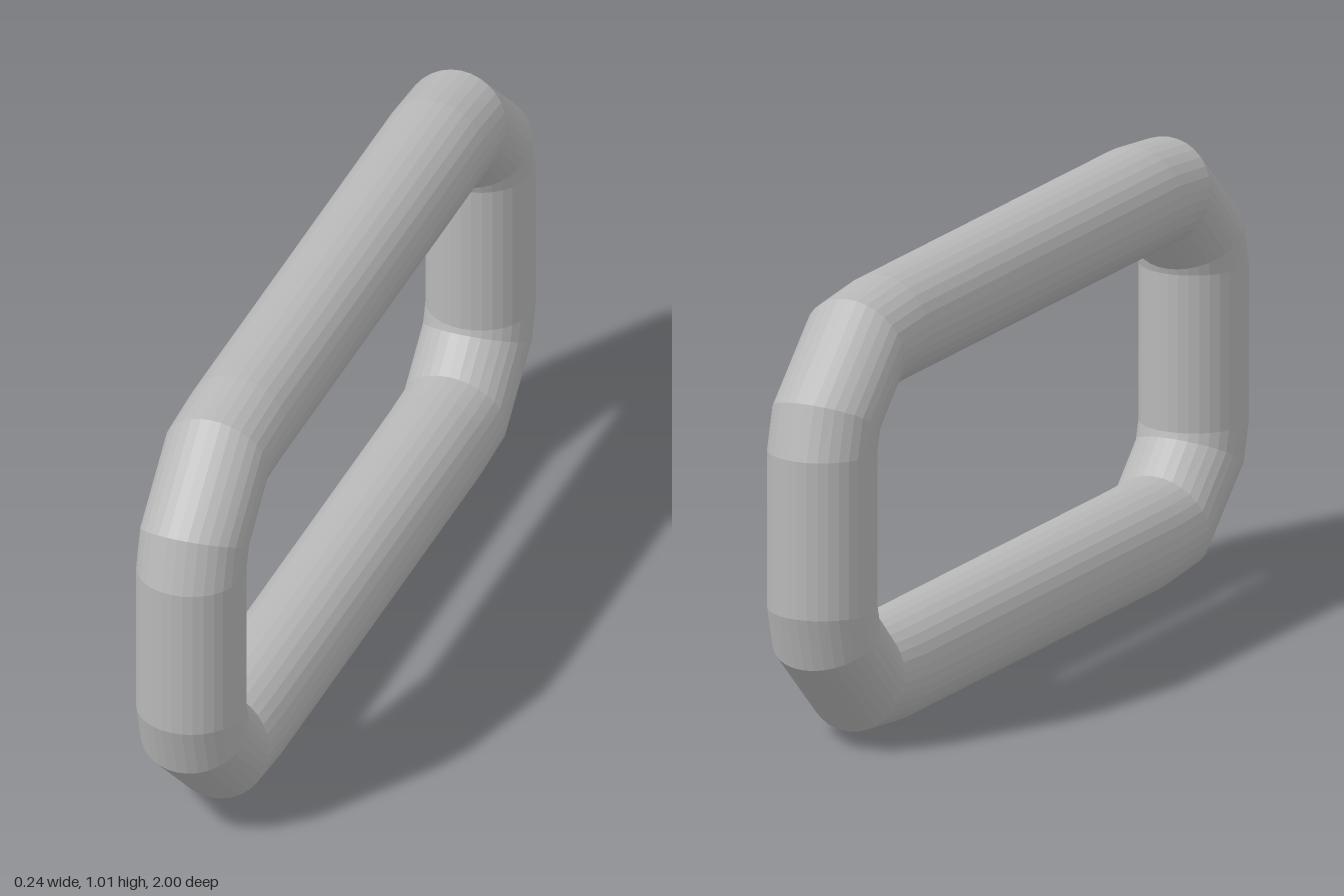
import * as THREE from 'three';

const SIDES = 32;
const RADIUS = 0.121;
const CENTRE_Y = 0.506;

// Rings of one corner: outer and inner edge as [z, y] from the loop's centre
const CORNER = [
  { outer: [0.6, 0.506], inner: [0.6, 0.263] },
  { outer: [0.76, 0.49], inner: [0.685, 0.262] },
  { outer: [0.966, 0.302], inner: [0.753, 0.192] },
  { outer: [1.0, 0.179], inner: [0.757, 0.179] },
];

// All rings in order around the loop, made by mirroring the corner
function loopRings() {
  const mirror = (sz, sy) => CORNER.map(({ outer, inner }) => ({
    outer: [outer[0] * sz, outer[1] * sy],
    inner: [inner[0] * sz, inner[1] * sy],
  }));
  return [
    ...mirror(1, 1),
    ...mirror(1, -1).reverse(),
    ...mirror(-1, -1),
    ...mirror(-1, 1).reverse(),
  ];
}

// Closed tube skinned over the rings
function linkGeometry() {
  const rings = loopRings();
  const positions = [];
  const indices = [];
  for (const { outer, inner } of rings) {
    for (let s = 0; s < SIDES; s++) {
      const a = (s / SIDES) * Math.PI * 2;
      const t = (1 + Math.cos(a)) / 2;
      positions.push(
        RADIUS * Math.sin(a),
        inner[1] + (outer[1] - inner[1]) * t,
        inner[0] + (outer[0] - inner[0]) * t,
      );
    }
  }
  for (let r = 0; r < rings.length; r++) {
    const next = (r + 1) % rings.length;
    for (let s = 0; s < SIDES; s++) {
      const s2 = (s + 1) % SIDES;
      const a = r * SIDES + s, b = r * SIDES + s2;
      const c = next * SIDES + s, d = next * SIDES + s2;
      indices.push(a, c, b, b, c, d);
    }
  }
  const indexed = new THREE.BufferGeometry();
  indexed.setAttribute('position', new THREE.Float32BufferAttribute(positions, 3));
  indexed.setIndex(indices);
  // Separate faces give crisp facets
  const geometry = indexed.toNonIndexed();
  geometry.computeVertexNormals();
  return geometry;
}

export function createModel() {
  const group = new THREE.Group();
  group.name = 'chainLink';
  const steel = new THREE.MeshStandardMaterial({ color: 0xb8b8b8 });
  steel.name = 'steelGrey';
  steel.flatShading = true;

  const link = new THREE.Mesh(linkGeometry(), steel);
  link.name = 'linkLoop';
  link.position.y = CENTRE_Y;
  group.add(link);
  return group;
}
